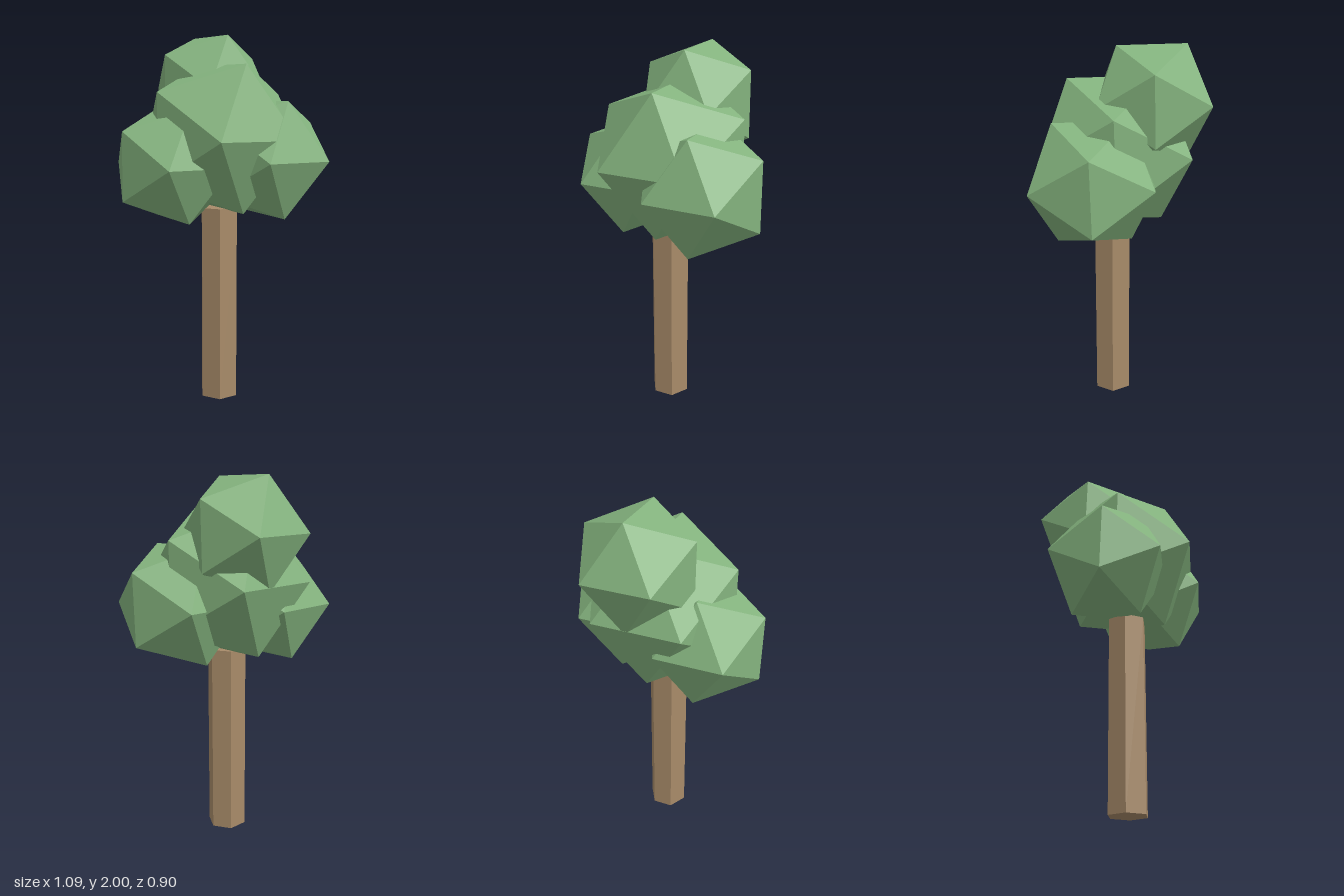
import * as THREE from 'three';

export function createModel() {
  const tree = new THREE.Group();
  tree.name = 'tree';

  const leafGreen = new THREE.MeshStandardMaterial({ color: 0x84b37e, flatShading: true });
  leafGreen.name = 'leafGreen';
  const barkBrown = new THREE.MeshStandardMaterial({ color: 0xa88b69, flatShading: true });
  barkBrown.name = 'barkBrown';

  // Six-sided trunk with corners pointing left and right
  const trunkHeight = 1.065;
  const trunk = new THREE.Mesh(
    new THREE.CylinderGeometry(0.109, 0.109, trunkHeight, 6, 1, false, Math.PI / 2), barkBrown);
  trunk.name = 'trunk';
  trunk.position.set(-0.0075, trunkHeight / 2, 0.0425);
  tree.add(trunk);

  // Low-poly leaf clumps: top edge runs front to back, with a slight tilt
  const addClump = (name, radius, x, y, z) => {
    const geometry = new THREE.IcosahedronGeometry(radius, 0)
      .rotateY(Math.PI / 2)
      .rotateX(0.028);
    const clump = new THREE.Mesh(geometry, leafGreen);
    clump.name = name;
    clump.position.set(x, y, z);
    tree.add(clump);
  };
  addClump('topLeaves', 0.338, 0.0625, 1.707, -0.166);
  addClump('middleLeaves', 0.454, 0.01, 1.441, 0.024);
  addClump('leftLeaves', 0.366, 0.2285, 1.328, 0.14);
  addClump('rightLeaves', 0.347, -0.25, 1.298, -0.037);

  return tree;
}
